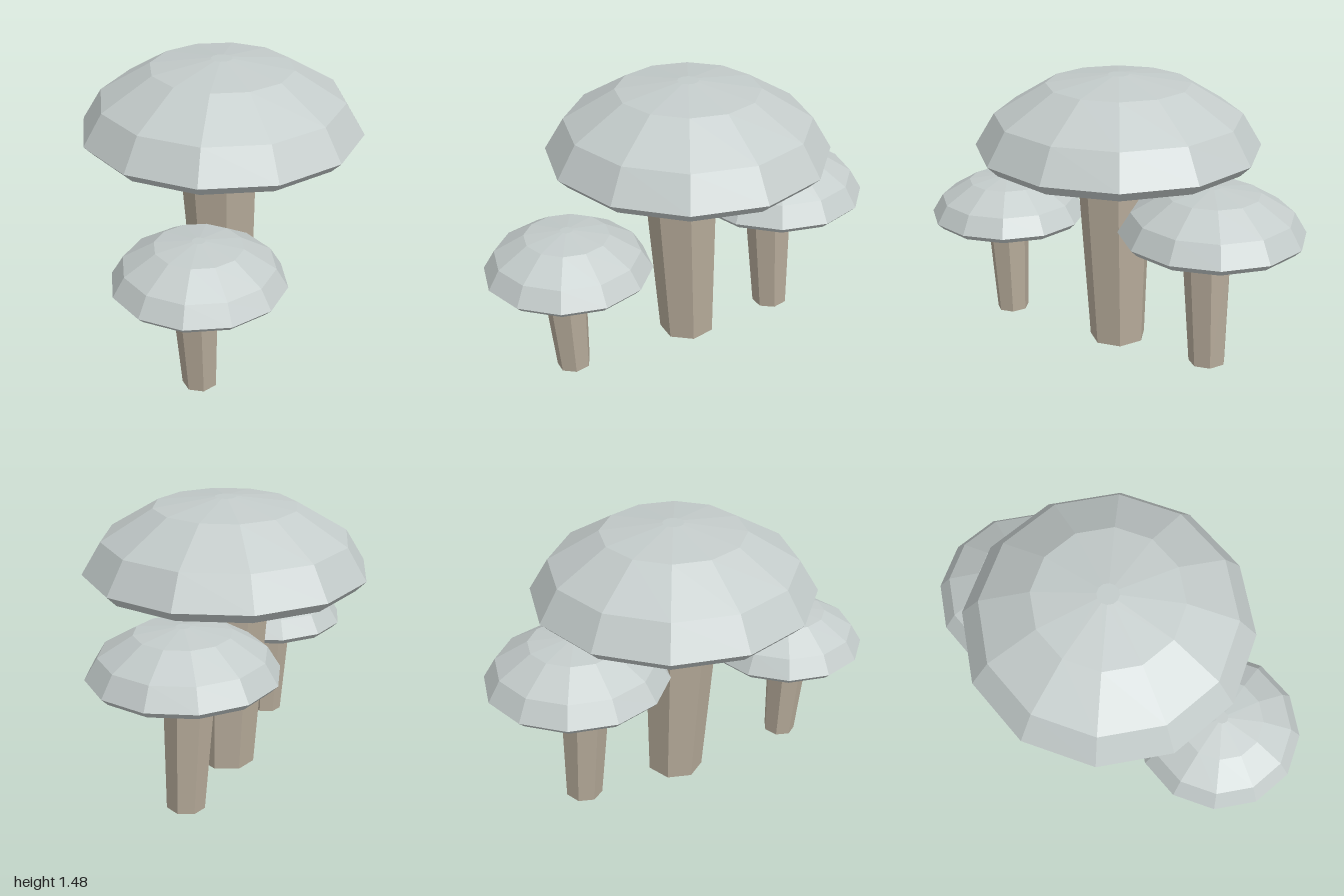
import * as THREE from 'three';

// Cap outline for the largest mushroom: radius, height above the underside
const CAP_PROFILE = [[0, 0], [0.68, 0], [0.735, 0.055], [0.635, 0.22], [0.37, 0.38], [0.055, 0.425], [0, 0.425]];
const GILLS = 8;

const capMaterial = new THREE.MeshStandardMaterial({ color: 0xc3cbca, flatShading: true });
const stemMaterial = new THREE.MeshStandardMaterial({ color: 0xb5aa99, flatShading: true });

function add(parent, name, geometry, material) {
  const mesh = new THREE.Mesh(geometry, material);
  mesh.name = name;
  parent.add(mesh);
  return mesh;
}

function createMushroom({ name, x, z, height, scale, lean }) {
  const mushroom = new THREE.Group();
  mushroom.name = name;
  mushroom.position.set(x, 0, z);

  // Seven-sided stem, wider at the top, leaning slightly about its foot
  const stemHeight = height + 0.02 * scale;
  const stemGeometry = new THREE.CylinderGeometry(0.207 * scale, 0.152 * scale, stemHeight, 7);
  stemGeometry.rotateY(-Math.PI / 2).translate(0, stemHeight / 2, 0);
  const stem = add(mushroom, 'stem', stemGeometry, stemMaterial);
  stem.rotation.z = lean;
  stem.position.y = 0.152 * scale * Math.sin(lean);

  // Twelve-sided faceted cap with a closed flat underside
  const outline = CAP_PROFILE.map(([r, y]) => new THREE.Vector2(r * scale, y * scale));
  const cap = add(mushroom, 'cap', new THREE.LatheGeometry(outline, 12), capMaterial);
  cap.position.y = height;

  // Thin gills radiating under the cap
  const gills = new THREE.Group();
  gills.name = 'gills';
  gills.position.y = height;
  mushroom.add(gills);
  const inner = 0.1 * scale, outer = 0.63 * scale;
  for (let i = 0; i < GILLS; i++) {
    const geometry = new THREE.BoxGeometry(outer - inner, 0.02 * scale, 0.014 * scale);
    geometry.translate((inner + outer) / 2, 0, 0);
    add(gills, 'gill', geometry, capMaterial).rotation.y = (i / GILLS) * Math.PI * 2;
  }
  return mushroom;
}

export function createModel() {
  const model = new THREE.Group();
  model.name = 'mushroomCluster';
  model.add(
    createMushroom({ name: 'largeMushroom', x: 0.04, z: -0.025, height: 1.05, scale: 1, lean: 0.036 }),
    createMushroom({ name: 'mediumMushroom', x: 0.525, z: -0.285, height: 0.7, scale: 0.646, lean: 0.05 }),
    createMushroom({ name: 'smallMushroom', x: -0.57, z: 0.325, height: 0.57, scale: 0.585, lean: 0.05 })
  );
  return model;
}
